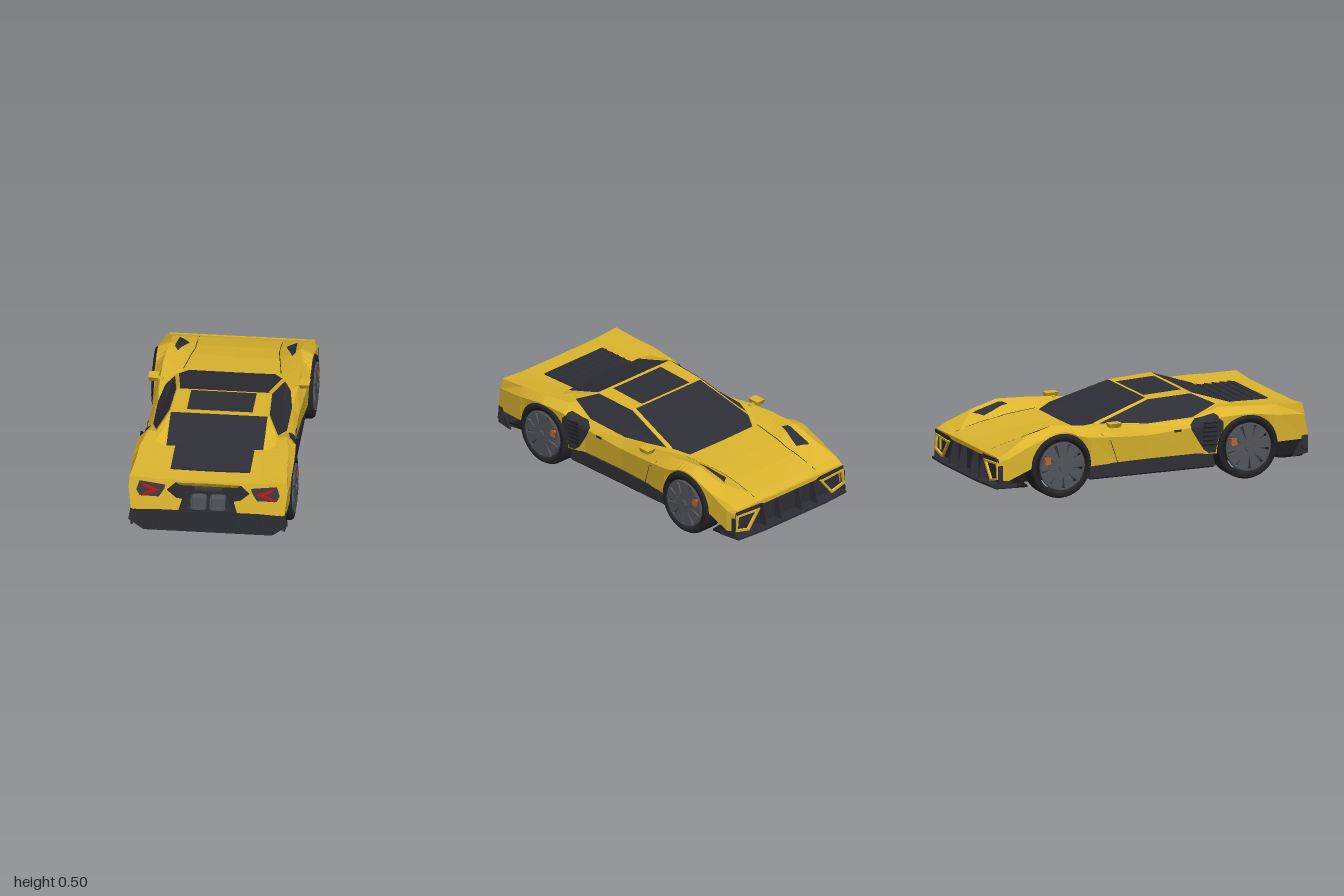
import * as THREE from 'three';

const paint = (name, color) => new THREE.MeshStandardMaterial({ name, color, side: THREE.DoubleSide });

// Body sections: z, then (x, y) of centre, hood crease, fender crest, flank, lower edge
const SECTIONS = [
  [-0.955, 0, 0.265, 0.22, 0.265, 0.42, 0.268, 0.43, 0.24, 0.43, 0.13],
  [-0.9, 0, 0.282, 0.23, 0.285, 0.425, 0.295, 0.445, 0.26, 0.445, 0.13],
  [-0.75, 0, 0.318, 0.24, 0.323, 0.38, 0.372, 0.45, 0.33, 0.452, 0.15],
  [-0.6, 0, 0.338, 0.25, 0.345, 0.38, 0.415, 0.45, 0.385, 0.452, 0.165],
  [-0.4, 0, 0.35, 0.28, 0.358, 0.4, 0.402, 0.45, 0.34, 0.44, 0.165],
  [-0.2, 0, 0.35, 0.31, 0.372, 0.4, 0.387, 0.435, 0.32, 0.42, 0.165],
  [0, 0, 0.35, 0.31, 0.358, 0.39, 0.365, 0.425, 0.31, 0.41, 0.165],
  [0.3, 0, 0.36, 0.3, 0.365, 0.39, 0.375, 0.43, 0.33, 0.415, 0.165],
  [0.45, 0, 0.385, 0.3, 0.412, 0.4, 0.43, 0.455, 0.38, 0.45, 0.165],
  [0.62, 0, 0.4, 0.29, 0.41, 0.43, 0.425, 0.465, 0.385, 0.465, 0.165],
  [0.8, 0, 0.4, 0.29, 0.405, 0.44, 0.418, 0.465, 0.36, 0.455, 0.2],
  [0.95, 0, 0.4, 0.29, 0.402, 0.455, 0.415, 0.46, 0.35, 0.445, 0.2],
];
const AXLES = [-0.57, 0.61], WHEEL_Y = 0.189, ARCH = 0.189, RAKE = 0.2;

// Half section at z, with the lower edge lifted over the wheel arches
function section(z) {
  let i = 0;
  while (i < SECTIONS.length - 2 && z > SECTIONS[i + 1][0]) i++;
  const a = SECTIONS[i], b = SECTIONS[i + 1], t = (z - a[0]) / (b[0] - a[0]);
  const v = a.map((n, k) => n + (b[k] - n) * t), p = [];
  for (let k = 1; k < v.length; k += 2) p.push([v[k], v[k + 1]]);
  for (const c of AXLES) {
    const h = ARCH * ARCH - (z - c) * (z - c);
    if (h > 0) p[4][1] = Math.max(p[4][1], WHEEL_Y + Math.sqrt(h));
  }
  p[3][1] = Math.max(p[3][1], p[4][1] + 0.008);
  return p;
}
const topY = (x, z) => {
  const p = section(z), i = x < p[1][0] ? 0 : 1;
  return p[i][1] + (p[i + 1][1] - p[i][1]) * (x - p[i][0]) / (p[i + 1][0] - p[i][0]);
};
const sideX = (y, z) => {
  const p = section(z), i = y > p[3][1] ? 2 : 3;
  return p[i][0] + (p[i + 1][0] - p[i][0]) * (y - p[i][1]) / (p[i + 1][1] - p[i][1]);
};

// Flat-shaded skin through rows of points
function skin(rows) {
  const pos = [];
  for (let i = 0; i + 1 < rows.length; i++) for (let j = 0; j + 1 < rows[i].length; j++) {
    const a = rows[i][j], b = rows[i + 1][j], c = rows[i + 1][j + 1], d = rows[i][j + 1];
    pos.push(...a, ...b, ...c, ...a, ...c, ...d);
  }
  const g = new THREE.BufferGeometry();
  g.setAttribute('position', new THREE.Float32BufferAttribute(pos, 3));
  g.computeVertexNormals();
  return g;
}
// Flat polygon fanned from its centre, optionally shrunk and lifted
function panel(pts, scale = 1, lift = [0, 0, 0]) {
  const c = [0, 1, 2].map(k => pts.reduce((s, p) => s + p[k], 0) / pts.length);
  const ring = [...pts, pts[0]].map(p => p.map((n, k) => c[k] + (n - c[k]) * scale + lift[k]));
  return skin([ring, ring.map(() => c.map((n, k) => n + lift[k]))]);
}
// Plate in the x-y plane, from z to z + depth
function plate(pts, z, depth, hole) {
  const s = new THREE.Shape(pts.map(p => new THREE.Vector2(...p)));
  if (hole) s.holes.push(new THREE.Path(hole.map(p => new THREE.Vector2(...p))));
  return new THREE.ExtrudeGeometry(s, { depth, bevelEnabled: false }).translate(0, 0, z);
}
// Plate given by (z, y) points, from x to x + depth
const sidePlate = (pts, x, depth) => plate(pts.map(([z, y]) => [-z, y]), 0, depth).rotateY(Math.PI / 2).translate(x, 0, 0);
// Lean a tail plate outward towards its foot
const raked = geo => geo.applyMatrix4(new THREE.Matrix4().makeShear(0, 0, 0, -RAKE, 0, 0)).translate(0, 0, 0.415 * RAKE);
const mirrorPts = pts => [...pts, ...pts.map(([x, y]) => [-x, y]).reverse()];
const box = (w, h, d, x, y, z) => new THREE.BoxGeometry(w, h, d).translate(x, y, z);

export function createModel() {
  const yellow = paint('body yellow', 0xdcb52e), dark = paint('charcoal trim', 0x2e2e36);
  const black = paint('underbody black', 0x19191c), rubber = paint('tyre rubber', 0x26262a);
  const metal = paint('wheel grey', 0x51555b), red = paint('lamp red', 0xc01418);
  const orange = paint('caliper orange', 0xc0642a), lampGrey = paint('lamp housing', 0x3a3a40);
  const model = new THREE.Group();
  const add = (name, geo, mat, parent = model) => {
    const m = new THREE.Mesh(geo, mat);
    m.name = name;
    parent.add(m);
  };

  // Parts of one half, repeated on the other side
  for (const side of [1, -1]) {
    const half = new THREE.Group();
    half.name = side > 0 ? 'leftHalf' : 'rightHalf';
    half.scale.x = side;
    model.add(half);
    const put = (name, geo, mat) => add(name, geo, mat, half);

    // Body shell with arch cutouts and raked tail edge
    const zs = SECTIONS.map(s => s[0]);
    for (const c of AXLES) for (let i = 0; i <= 16; i++) zs.push(c - ARCH * Math.cos(Math.PI * i / 16));
    zs.sort((a, b) => a - b);
    put('bodyShell', skin(zs.map(z => section(z).map(([x, y]) => [x, y, z > 0.94 ? z + (0.415 - y) * RAKE : z]))), yellow);
    // Arch lips turning inward
    AXLES.forEach(c => {
      const rows = [];
      for (let i = 1; i < 16; i++) {
        const z = c - ARCH * Math.cos(Math.PI * i / 16), [x, y] = section(z)[4];
        rows.push([[x, y, z], [x - 0.06, y, z]]);
      }
      put('archLip', skin(rows), dark);
    });

    // Cabin side: window, roof rail and rear buttress
    const B = [0.315, 0.379, -0.29], C = [0.272, 0.487, 0.055], D = [0.285, 0.5, 0.335], E = [0.35, 0.437, 0.47];
    const sideGlass = [C, D, E, [0.387, 0.376, 0.3], [0.387, 0.366, 0], [0.36, 0.382, -0.18], B];
    put('sideFrame', panel(sideGlass), yellow);
    put('sideWindow', panel(sideGlass, 0.95, [0.003, 0.002, 0]), dark);
    put('rearButtress', panel([D, E, [0.35, 0.427, 0.56], [0.283, 0.412, 0.6]]), yellow);
    put('windscreenPillar', skin([[B, C], [[0.298, 0.385, -0.295], [0.255, 0.493, 0.055]]]), yellow);
    put('windscreen', panel([[0, 0.356, -0.392], [0.25, 0.358, -0.39], [0.302, 0.382, -0.3], [0.26, 0.489, 0.055], [0, 0.489, 0.055]]), dark);

    // Hood vent and seam, draped on the hood
    const vent = [];
    for (let i = 0; i <= 8; i++) {
      const t = i / 8, row = [];
      for (let j = 0; j <= 6; j++) {
        const s = j / 6, x = (0.28 + 0.05 * t) * (1 - s) + (0.34 + 0.01 * t) * s;
        const z = (-0.725 + 0.175 * t) * (1 - s) + (-0.77 + 0.19 * t) * s;
        row.push([x, topY(x, z) + 0.006, z]);
      }
      vent.push(row);
    }
    put('hoodVent', skin(vent), dark);
    const seam = [];
    for (let i = 0; i <= 20; i++) {
      const z = -0.92 + 0.026 * i, x = z < -0.68 ? 0.243 : 0.243 + (z + 0.68) * 0.14;
      seam.push([-0.002, 0.002].map(d => [x + d, topY(x + d, z) + 0.002, z]));
    }
    put('hoodSeam', skin(seam), dark);

    // Side intake with louvres: z, lower y, upper y
    const intake = [[0.262, 0.32, 0.345], [0.3, 0.26, 0.375], [0.34, 0.195, 0.382], [0.37, 0.172, 0.39], [0.41, 0.172, 0.4], [0.425, 0.25, 0.39], [0.455, 0.305, 0.35]];
    put('sideIntake', skin(intake.map(([z, lo, hi]) => {
      const row = [];
      for (let j = 0; j <= 10; j++) {
        const y = lo + (hi - lo) * j / 10;
        row.push([sideX(y, z) + 0.006, y, z]);
      }
      return row;
    })), dark);
    for (let i = 0; i < 6; i++) {
      const y = 0.22 + i * 0.026;
      put('intakeLouvre', box(0.014, 0.006, 0.08, sideX(y, 0.375) + 0.006, y, 0.375), black);
    }

    // Door seam and handle
    const cut = [[-0.2, 0.17], [-0.25, 0.3], [-0.31, 0.35]];
    put('doorSeam', skin(cut.map(([z, y]) => [-0.002, 0.002].map(d => [sideX(y, z + d) + 0.003, y, z + d]))), dark);
    put('doorHandle', box(0.006, 0.012, 0.045, sideX(0.318, 0.18) + 0.001, 0.318, 0.18), dark);

    // Sill skirt
    put('sillSkirt', sidePlate([[0.42, 0.09], [0.4, 0.17], [-0.3, 0.168], [-0.37, 0.125], [-0.38, 0.09]], 0.35, 0.075), dark);

    // Wing mirror
    const mirror = new THREE.CylinderGeometry(0.044, 0.034, 0.026, 4).rotateY(Math.PI / 4).scale(0.95, 1, 1.25);
    put('wingMirror', mirror.translate(0.437, 0.395, -0.23), yellow);
    put('mirrorStalk', box(0.05, 0.01, 0.02, 0.405, 0.387, -0.23), yellow);

    // Tail fascia and lamp
    const lamp = [[0.416, 0.333], [0.397, 0.388], [0.247, 0.37], [0.253, 0.345], [0.285, 0.294], [0.397, 0.297]];
    put('tailFascia', raked(plate([[0, 0.4], [0.29, 0.402], [0.455, 0.415], [0.46, 0.35], [0.445, 0.215], [0.3, 0.222], [0.17, 0.222],
      [0.15, 0.285], [0.185, 0.29], [0.243, 0.338], [0.19, 0.385], [0, 0.388]], 0.945, 0.01, lamp)), yellow);
    put('lampHousing', raked(plate(lamp, 0.944, 0.005)), lampGrey);
    put('tailLamp', raked(plate([[0.388, 0.374], [0.28, 0.334], [0.388, 0.296], [0.37, 0.316], [0.32, 0.334], [0.37, 0.354]], 0.949, 0.008)), red);

    // Exhaust outlet and bracket
    put('exhaustOutlet', plate([[0.01, 0.24], [0.022, 0.228], [0.086, 0.228], [0.1, 0.24], [0.1, 0.294], [0.088, 0.305], [0.022, 0.305], [0.01, 0.294]],
      0.9, 0.09, [[0.022, 0.24], [0.088, 0.24], [0.088, 0.294], [0.022, 0.294]]), metal);
    put('exhaustCore', box(0.07, 0.058, 0.01, 0.055, 0.267, 0.968), metal);
    put('exhaustBracket', plate([[0.118, 0.325], [0.132, 0.325], [0.152, 0.225], [0.136, 0.225]], 0.95, 0.025), dark);

    // Diffuser end plate and its upswept floor
    put('diffuserEndPlate', sidePlate([[0.995, 0.22], [0.995, 0.115], [0.9, 0.1], [0.945, 0.18]], 0.435, 0.012), dark);
    put('diffuserCorner', panel([[0.375, 0.084, 0.99], [0.46, 0.145, 0.99], [0.445, 0.12, 0.9], [0.375, 0.084, 0.86]]), dark);

    // Nose: corner frame, headlamp, end plate and fins
    const corner = [[0.24, 0.226], [0.424, 0.238], [0.434, 0.14], [0.33, 0.114]];
    put('noseFrame', plate(corner, -0.968, 0.014, [[0.264, 0.216], [0.412, 0.227], [0.421, 0.15], [0.336, 0.128]]), yellow);
    put('headlamp', plate([[0.25, 0.232], [0.424, 0.243], [0.42, 0.263], [0.235, 0.257]], -0.968, 0.03), dark);
    put('splitterEndPlate', sidePlate([[-0.82, 0.1], [-0.935, 0.135], [-0.935, 0.22], [-0.96, 0.22], [-0.965, 0.1]], 0.43, 0.01), dark);
    [0.08, 0.2].forEach(x => put('noseFin', sidePlate([[-0.92, 0.245], [-0.955, 0.24], [-0.985, 0.1], [-0.92, 0.1]], x - 0.005, 0.01), dark));

    // Wheels
    AXLES.forEach((z, n) => {
      const wheel = new THREE.Group();
      wheel.name = n ? 'rearWheel' : 'frontWheel';
      wheel.position.set(0.394, WHEEL_Y, z);
      half.add(wheel);
      const profile = [[0.151, -0.07], [0.178, -0.078], [0.189, -0.055], [0.189, 0.055], [0.178, 0.073], [0.151, 0.07], [0.151, -0.07]];
      add('tyre', new THREE.LatheGeometry(profile.map(p => new THREE.Vector2(...p)), 40).rotateZ(-Math.PI / 2), rubber, wheel);
      add('brakeDisc', new THREE.CylinderGeometry(0.125, 0.125, 0.015, 32).rotateZ(Math.PI / 2).translate(0.03, 0, 0), lampGrey, wheel);
      add('hub', new THREE.CylinderGeometry(0.024, 0.035, 0.05, 10).rotateZ(-Math.PI / 2).translate(0.062, 0, 0), metal, wheel);
      add('rimRing', new THREE.TorusGeometry(0.136, 0.007, 6, 40).rotateY(Math.PI / 2).translate(0.07, 0, 0), metal, wheel);
      add('brakeCaliper', box(0.02, 0.042, 0.036, 0.073, 0.05, -0.09).rotateX(-0.1), orange, wheel);
      for (let i = 0; i < 9; i++) {
        const blade = plate([[-0.012, 0.02], [0.01, 0.02], [0.04, 0.132], [-0.034, 0.137]], 0.066, 0.014);
        add('rimBlade', blade.rotateY(Math.PI / 2).rotateX(i * Math.PI * 2 / 9), metal, wheel);
      }
    });
  }

  // Roof, roof panel, rear glass
  add('roof', skin([[[-0.272, 0.488, 0.055], [-0.285, 0.5, 0.335]], [[0.272, 0.488, 0.055], [0.285, 0.5, 0.335]]]), yellow);
  add('roofPanel', skin([[[-0.19, 0.491, 0.07], [-0.19, 0.501, 0.31]], [[0.19, 0.491, 0.07], [0.19, 0.501, 0.31]]]), dark);
  add('rearGlass', skin([[[-0.28, 0.495, 0.34], [-0.28, 0.415, 0.59]], [[0.28, 0.495, 0.34], [0.28, 0.415, 0.59]]]), dark);

  // Engine cover slats
  add('engineCover', box(0.46, 0.012, 0.25, 0, 0.404, 0.715), dark);
  for (let i = 0; i < 5; i++) add('engineSlat', box(0.45, 0.005, 0.042, 0, 0, 0).rotateX(0.2).translate(0, 0.412, 0.615 + i * 0.05), dark);

  // Tail centre: recess, undercut bar, plate holder
  add('tailRecess', plate(mirrorPts([[0.19, 0.388], [0.25, 0.338], [0.19, 0.285], [0.15, 0.2]]), 0.925, 0.01), dark);
  add('tailBar', skin([[[-0.19, 0.388, 0.956], [-0.165, 0.355, 0.936]], [[0.19, 0.388, 0.956], [0.165, 0.355, 0.936]]]), yellow);
  add('plateHolder', box(0.16, 0.018, 0.02, 0, 0.345, 0.945), lampGrey);

  // Rear diffuser with fins
  add('diffuser', plate(mirrorPts([[0.3, 0.227], [0.447, 0.226], [0.46, 0.145], [0.37, 0.105], [0.375, 0.082]]), 0.955, 0.035), dark);
  for (const x of [-0.42, -0.29, -0.145, 0, 0.145, 0.29, 0.42]) {
    const foot = Math.abs(x) > 0.4 ? 0.135 : 0.1;
    add('diffuserFin', plate([[x - 0.003, 0.22], [x + 0.003, 0.22], [x * 1.04 + 0.003, foot], [x * 1.04 - 0.003, foot]], 0.96, 0.04), dark);
  }

  // Nose backing, lip and splitter
  add('noseGrille', plate(mirrorPts([[0.42, 0.262], [0.43, 0.1]]), -0.925, 0.01), dark);
  add('noseLip', plate(mirrorPts([[0.42, 0.269], [0.424, 0.262], [0.24, 0.257], [0.2, 0.245]]), -0.964, 0.014), yellow);
  const splitter = plate(mirrorPts([[0.25, 1], [0.43, 0.985], [0.45, 0.85], [0.3, 0.84]]), 0, 0.012);
  add('splitter', splitter.rotateX(-Math.PI / 2).translate(0, 0.09, 0), dark);

  // Flat underbody, narrowed at the wheels
  const floor = plate(mirrorPts([[0.42, 0.97], [0.44, 0.78], [0.31, 0.76], [0.31, 0.38], [0.42, 0.37], [0.42, -0.41],
    [0.31, -0.42], [0.31, -0.81], [0.375, -0.86], [0.375, -0.98]]), 0, 0.012);
  add('underbody', floor.rotateX(-Math.PI / 2).translate(0, 0.082, 0), black);
  return model;
}
